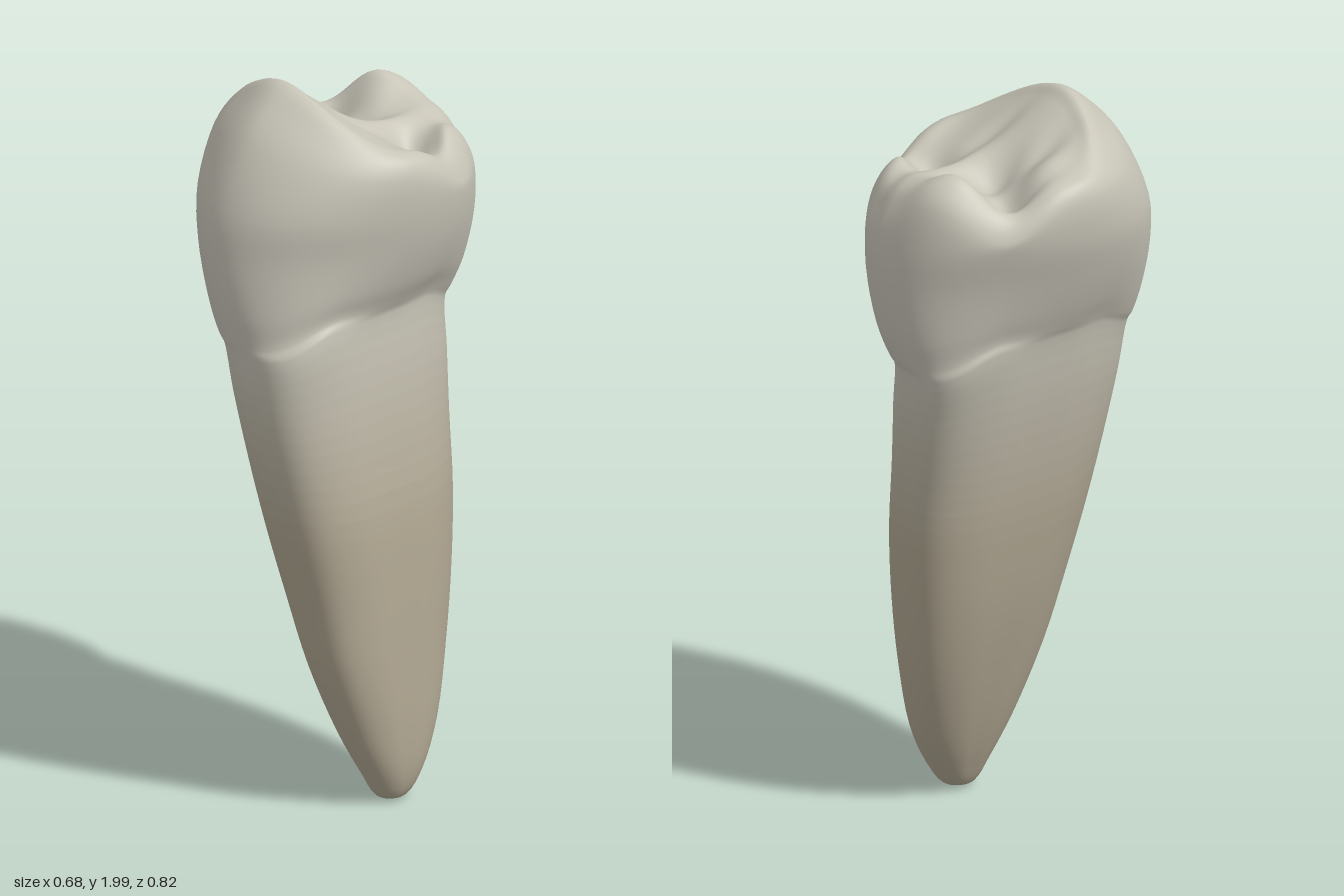
import * as THREE from 'three';

const SIDES = 112, STEPS = 4, TOP_RINGS = 26;
const { clamp, lerp, smoothstep } = THREE.MathUtils;

// Cross-sections, tip to crown: y, xMin, xMax, zBack, zFront, dip of the neck line
const SECTIONS = [
  [0.0, 0.195, 0.205, -0.026, -0.014, 0],
  [0.015, 0.16, 0.238, -0.068, 0.025, 0],
  [0.08, 0.122, 0.265, -0.12, 0.066, 0],
  [0.2, 0.07, 0.277, -0.187, 0.13, 0],
  [0.4, 0.0, 0.283, -0.25, 0.21, 0],
  [0.6, -0.06, 0.285, -0.29, 0.26, 0],
  [0.8, -0.105, 0.284, -0.313, 0.31, 0],
  [1.0, -0.142, 0.27, -0.322, 0.35, 0],
  [1.2, -0.18, 0.256, -0.335, 0.375, 0.4],
  [1.38, -0.215, 0.245, -0.347, 0.387, 1],
  [1.41, -0.224, 0.25, -0.362, 0.394, 1],
  [1.47, -0.252, 0.278, -0.39, 0.408, 0.7],
  [1.58, -0.295, 0.312, -0.41, 0.412, 0.2],
  [1.69, -0.33, 0.333, -0.403, 0.393, 0],
];
const NECK = 9; // section where the root meets the crown

const bump = (x, z, cx, cz, sx, sz, h) =>
  h * Math.exp(-(((x - cx) / sx) ** 2) - ((z - cz) / sz) ** 2);

// Height of the chewing surface: tall front cusp, two back cusps, ridges and pits
function chewingHeight(x, z) {
  const ramp = (0.035 * Math.log(1 + Math.exp((z + 0.15) / 0.035))) / 0.33;
  let y = 1.765 + ramp * (0.24 - 0.46 * (Math.hypot(x + 0.02, 0.1) - 0.1));
  y += bump(x, z, -0.16, -0.29, 0.13, 0.1, 0.12); // back cusps
  y += bump(x, z, 0.18, -0.25, 0.09, 0.075, 0.06);
  y += bump(x, z, 0.02, -0.31, 0.08, 0.09, 0.04);
  y += bump(x, z, -0.07, -0.2, 0.07, 0.06, 0.02);
  y += bump(x, z, -0.31, -0.07, 0.07, 0.1, 0.04); // side ridges
  y += bump(x, z, 0.3, -0.06, 0.06, 0.09, 0.025);
  y += bump(x, z, 0.04, -0.16, 0.05, 0.1, 0.04); // central ridge
  y += bump(x, z, -0.2, -0.03, 0.05, 0.08, 0.025);
  y -= bump(x, z, -0.19, -0.13, 0.07, 0.06, 0.045); // pits and grooves
  y -= bump(x, z, -0.07, -0.08, 0.05, 0.07, 0.04);
  y -= bump(x, z, 0.14, -0.14, 0.06, 0.05, 0.04);
  y -= bump(x, z, 0.08 - z * 0.2, 0.0, 0.035, 0.09, 0.014);
  y -= bump(x, z, -0.13, 0.03, 0.035, 0.08, 0.016);
  return y;
}

// Signed power, squaring (e < 1) or pinching (e > 1) an oval
const power = (v, e) => Math.sign(v) * Math.abs(v) ** e;

// Point at direction (c, s) of an oval with its own extent on each side
function oval(c, s, e, [xMin, xMax, zBack, zFront]) {
  const zm = s > 0 ? zFront : -zBack;
  return [(xMin + xMax) / 2 + (power(c, e) * (xMax - xMin)) / 2, s * zm];
}

// One strand running from the root tip up the wall and in over the top
function strand(a) {
  const s = Math.sin(a), c = Math.cos(a);
  // crown outline: nearly oval in front, full at the back on one side only
  const crownPower = s > 0 ? 1.04 : c < 0 ? 0.8 : 1.22;
  // root outline: fuller and twisted towards two opposite corners
  const rootPower = s * c > 0 ? 0.68 : 1;
  const wall = SECTIONS.map(([y, x0, x1, zb, zf, dip], i) => {
    const crown = clamp((i - NECK) / 3, 0, 1);
    const full = clamp((i - 1) / 3, 0, 1);
    const e = lerp(lerp(1, rootPower, full), crownPower, crown);
    const sp = power(s, lerp(lerp(1, rootPower, full), 1, crown));
    const twist = 0.2 * full * (1 - crown);
    // shallow hollow along both sides of the root
    const hollow = i > 1 && i <= NECK ? 1.015 - 0.035 * Math.exp(-((s / 0.22) ** 2)) : 1;
    const px = (Math.sqrt(1 - twist * twist) * power(c, e) + twist * sp) * hollow;
    return new THREE.Vector3(
      (x0 + x1) / 2 + (px * (x1 - x0)) / 2,
      y - 0.075 * dip * smoothstep(Math.abs(s), 0.35, 1),
      (zb + zf) / 2 + (sp * (zf - zb)) / 2,
    );
  });

  // shoulder and rounded rim
  const [rx, rz] = oval(c, power(s, 0.9), crownPower * 0.85, [-0.285, 0.28, -0.285, 0.165]);
  const [ux, uz] = oval(c, s, crownPower, [-0.32, 0.315, -0.34, 0.235]);
  const [sx, sz] = oval(c, s, crownPower, [-0.338, 0.335, -0.378, 0.312]);
  const top = chewingHeight(rx, rz);
  const front = s > 0 ? s * s : 0, back = s < 0 ? s * s : 0;
  wall.push(new THREE.Vector3(sx, Math.max(1.715, top - 0.06 - 0.07 * front - 0.015 * back), sz));
  wall.push(new THREE.Vector3(ux, top - 0.015 - 0.03 * front - 0.008 * back, uz));
  wall.push(new THREE.Vector3(rx, top, rz));

  // chewing surface, drawn in towards its middle
  const inside = (t) => {
    const x = rx * (1 - t), z = lerp(rz, -0.06, t);
    return new THREE.Vector3(x, chewingHeight(x, z), z);
  };
  wall.push(inside(0.15));
  const points = new THREE.CatmullRomCurve3(wall).getPoints((wall.length - 1) * STEPS);
  for (let k = 1; k <= TOP_RINGS; k++) points.push(inside(lerp(0.15, 1, k / TOP_RINGS)));
  return points;
}

export function createModel() {
  const group = new THREE.Group();
  group.name = 'tooth';

  // Whole skin first, so that normals run smoothly across the parts
  const strands = Array.from({ length: SIDES }, (_, i) => strand((i / SIDES) * Math.PI * 2));
  const rings = strands[0].length;
  const positions = [], index = [];
  for (let r = 0; r < rings; r++) {
    for (let i = 0; i < SIDES; i++) {
      positions.push(...strands[i][r].toArray());
      if (r === rings - 1) continue;
      const a = r * SIDES + i, b = r * SIDES + ((i + 1) % SIDES);
      index.push(a, a + SIDES, b, b, a + SIDES, b + SIDES);
    }
  }
  // close the root tip
  for (let i = 1; i < SIDES - 1; i++) index.push(0, i, i + 1);
  const skin = new THREE.BufferGeometry();
  skin.setAttribute('position', new THREE.Float32BufferAttribute(positions, 3));
  skin.setIndex(index);
  skin.computeVertexNormals();

  // Parts as bands of the skin, the root darkening towards its tip
  const perRing = SIDES * 6;
  const addBand = (name, faces, color) => {
    const geometry = new THREE.BufferGeometry();
    geometry.setAttribute('position', skin.attributes.position);
    geometry.setAttribute('normal', skin.attributes.normal);
    geometry.setIndex(faces);
    const mesh = new THREE.Mesh(geometry, new THREE.MeshStandardMaterial({ color }));
    mesh.name = name;
    group.add(mesh);
  };
  const band = (from, to) => index.slice(from * perRing, to * perRing);
  const enamel = new THREE.Color(0xc8c5b8), dentine = new THREE.Color(0xb4aa95);
  const neck = NECK * STEPS, body = 6 * STEPS, last = rings - 1;
  addBand('root', [...band(0, body), ...index.slice(last * perRing)], dentine);
  for (let r = body; r < neck; r++) {
    const t = (r - body + 0.5) / (neck - body);
    addBand('rootNeck', band(r, r + 1), dentine.clone().lerp(enamel, t));
  }
  addBand('crown', band(neck, last), enamel);
  return group;
}
